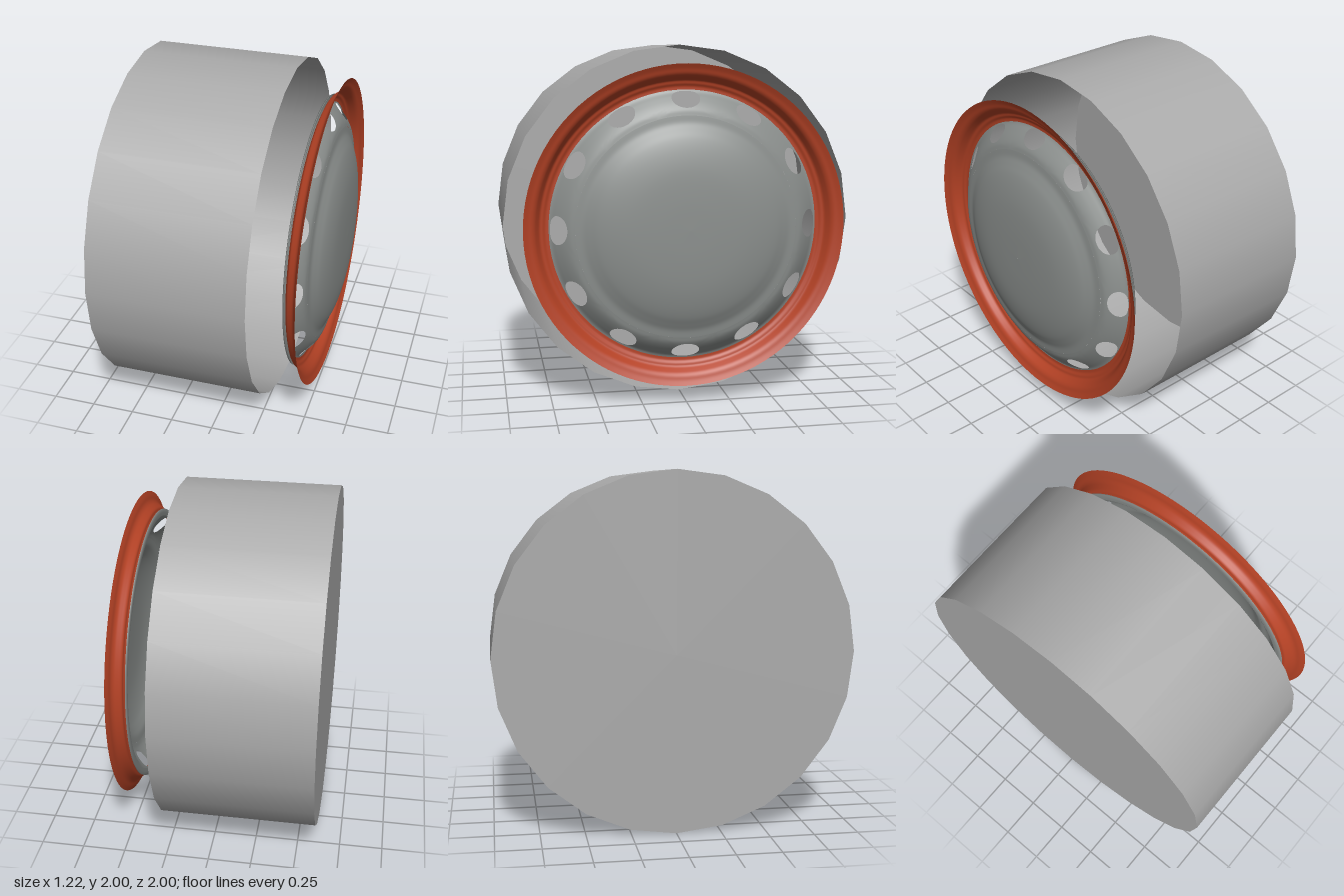
import * as THREE from 'three';
import { mergeVertices } from 'three/addons/utils/BufferGeometryUtils.js';

const flat = (name, color) => {
  const m = new THREE.MeshStandardMaterial({ color, side: THREE.DoubleSide });
  m.name = name;
  return m;
};

// Revolve [x, radius] points around the x axis
function revolve(points, segments) {
  const g = new THREE.LatheGeometry(points.map(([x, r]) => new THREE.Vector2(r, x)), segments);
  return g.rotateZ(-Math.PI / 2);
}

// Smooth curve through [x, radius] points
const curve = (pts) => new THREE.CatmullRomCurve3(pts.map(([x, r]) => new THREE.Vector3(x, r, 0)));
const smooth = (pts, n) => curve(pts).getPoints(n).map((p) => [p.x, p.y]);

// Revolved band pierced by a ring of oval holes, one square patch per hole
function piercedBand(profile, count, holeU, holeV, centreV) {
  const path = curve(profile), around = 48, rings = 6, half = Math.PI / count;
  const pos = [], index = [];
  for (let k = 0; k < count; k++) {
    const base = pos.length / 3;
    for (let i = 0; i < around; i++) {
      const a = (i / around) * Math.PI * 2, c = Math.cos(a), s = Math.sin(a);
      const m = Math.max(Math.abs(c), Math.abs(s));
      const outerV = s > 0 ? centreV + (s / m) * (1 - centreV) : centreV + (s / m) * centreV;
      for (let j = 0; j <= rings; j++) {
        const t = j / rings;
        const u = THREE.MathUtils.lerp(c * holeU, (c / m) * half, t);
        const v = THREE.MathUtils.lerp(centreV + s * holeV, outerV, t);
        const p = path.getPoint(THREE.MathUtils.clamp(v, 0, 1));
        const angle = k * 2 * half + u;
        pos.push(p.x, p.y * Math.cos(angle), p.y * Math.sin(angle));
        if (j < rings) {
          const n = (i + 1) % around, q = rings + 1;
          const A = base + i * q + j, B = base + n * q + j;
          index.push(A, A + 1, B, B, A + 1, B + 1);
        }
      }
    }
  }
  let g = new THREE.BufferGeometry();
  g.setAttribute('position', new THREE.Float32BufferAttribute(pos, 3));
  g.setIndex(index);
  g = mergeVertices(g, 1e-4);
  g.computeVertexNormals();
  return g;
}

export function createModel() {
  const model = new THREE.Group();
  model.name = 'wheel';
  const drumGrey = flat('drum grey', 0xaaaaaa);
  const hubGrey = flat('hub grey', 0x8b8f8d);
  const rimRed = flat('rim red', 0xb54225);

  const add = (name, geometry, material, x = 0) => {
    const mesh = new THREE.Mesh(geometry, material);
    mesh.name = name;
    mesh.position.set(x, 1, 0);
    model.add(mesh);
  };

  // Hollow drum, open towards the hub
  add('drumWall', new THREE.CylinderGeometry(1, 1, 0.89, 24, 1, true).rotateZ(-Math.PI / 2), drumGrey, -0.165);
  add('drumBack', new THREE.CircleGeometry(1, 24).rotateY(-Math.PI / 2), drumGrey, -0.61);

  // Domed hub centre
  add('hubDome', revolve(smooth([
    [0.61, 0.001], [0.607, 0.18], [0.597, 0.33], [0.58, 0.43], [0.56, 0.5], [0.54, 0.545], [0.525, 0.58], [0.518, 0.62],
  ], 32), 96), hubGrey);

  // Sloping shoulder with twelve vent holes
  add('ventBand', piercedBand([
    [0.518, 0.62], [0.51, 0.65], [0.488, 0.685], [0.458, 0.72], [0.435, 0.745], [0.428, 0.76],
  ], 12, 0.112, 0.3, 0.56), hubGrey);

  // Narrow flange behind the rim
  add('hubFlange', revolve([[0.428, 0.76], [0.426, 0.78], [0.427, 0.8], [0.434, 0.8]], 96), hubGrey);

  // Flared rim
  add('rim', revolve(smooth([
    [0.436, 0.757], [0.437, 0.775], [0.445, 0.79], [0.45, 0.807], [0.47, 0.822],
    [0.488, 0.835], [0.499, 0.85], [0.507, 0.873], [0.52, 0.9],
  ], 28), 96), rimRed);

  return model;
}
